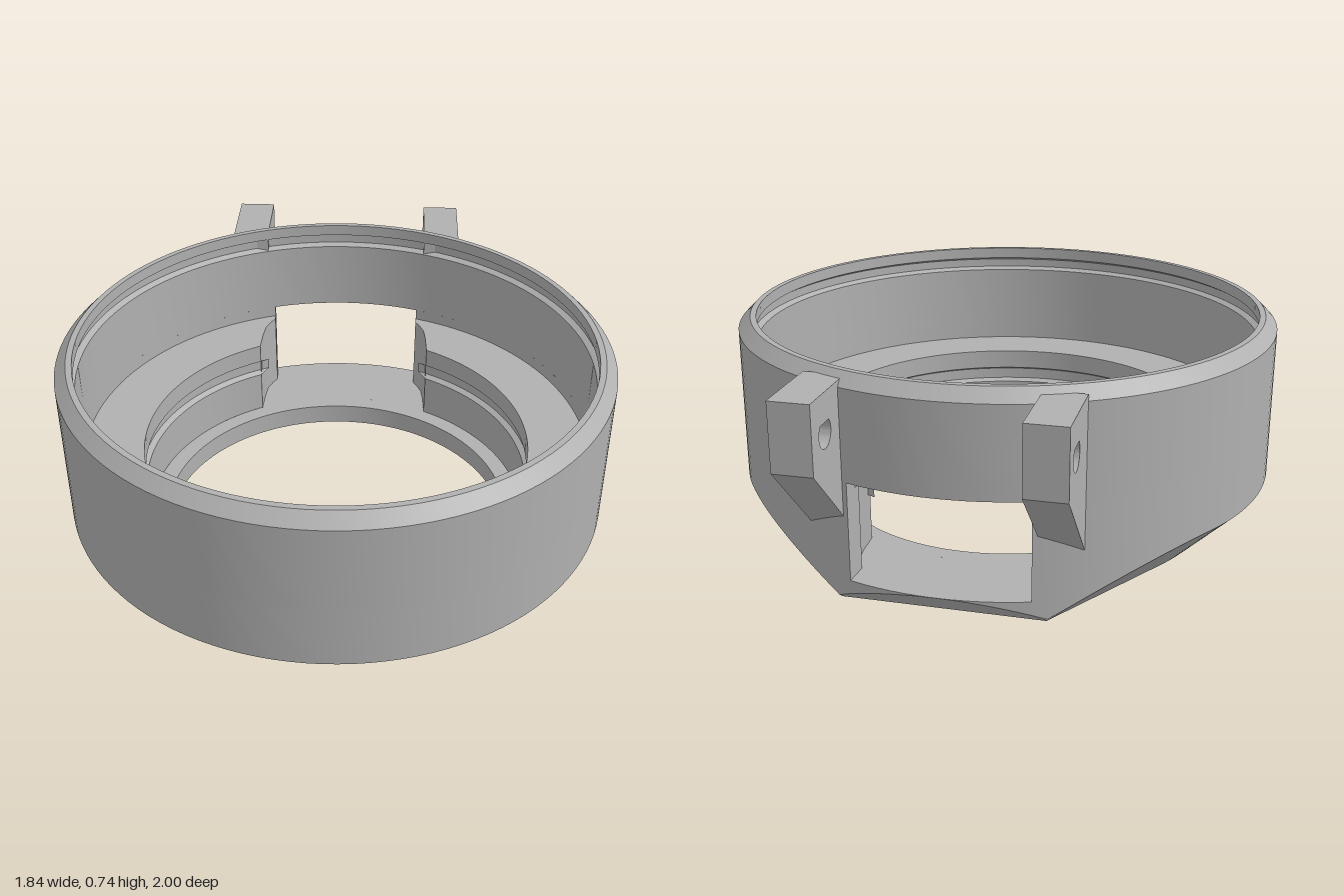
import * as THREE from 'three';
import { toCreasedNormals } from 'three/addons/utils/BufferGeometryUtils.js';

const R = 0.92, INNER = 0.86, SEAT = 0.66, HOLE = 0.6;   // ring radii
const CZ = 0.08;                                         // ring centre in z
const SILL = 0.075, FLOOR = 0.36, LINTEL = 0.4;
const FOOT = 0.73, BACK = 0.845;                         // bottom outline: circle plus flat back
const RAD = Math.PI / 180;
const CORNER = 21 * RAD;
const TANGENT = CORNER + Math.acos(FOOT * Math.cos(CORNER) / BACK);

// pocket and window edge: [radius, half angle in degrees from the back]
const EDGE = [[SEAT, 29], [0.735, 25.5], [0.784, 23.3], [0.815, 21.2], [0.835, 19.5], [INNER, 19], [R, 18]];
const halfAngle = (r) => {
  for (const [er, deg] of EDGE) if (r <= er + 1e-6) return deg * RAD;
  return 18 * RAD;
};

// angle away from the back, 0..PI
const fromBack = (a) => Math.abs(Math.atan2(Math.sin(a), Math.cos(a)));
function footRadius(a) {
  const b = fromBack(a);
  if (b < CORNER) return BACK / Math.cos(b);
  return b < TANGENT ? FOOT / Math.cos(TANGENT - b) : FOOT;
}
function chamferTop(a) {
  const b = fromBack(a);
  if (b < CORNER) return R * Math.cos(b) - BACK;
  return (b < TANGENT ? R * Math.cos(TANGENT - b) : R) - FOOT;
}

const polar = (r, a, y) => [r * Math.sin(a), y, CZ - r * Math.cos(a)];

// grid surface through rows of points
function surface(rows) {
  const n = rows[0].length, idx = [];
  for (let i = 0; i < rows.length - 1; i++) {
    for (let j = 0; j < n - 1; j++) {
      const p = i * n + j, q = p + n;
      idx.push(p, p + 1, q, p + 1, q + 1, q);
    }
  }
  const g = new THREE.BufferGeometry();
  g.setAttribute('position', new THREE.Float32BufferAttribute(rows.flat(2), 3));
  g.setIndex(idx);
  return toCreasedNormals(g, 0.45);
}

// sweep a profile of [r, y] (numbers or functions of angle) round the ring
function sweep(profile, span = 'full') {
  const steps = { full: 120, body: 108, window: 12 }[span];
  return surface(profile.map(([r, y]) => {
    const h = span === 'full' ? 0 : halfAngle(typeof r === 'number' ? r : R);
    const from = span === 'window' ? -h : h;
    const to = span === 'window' ? h : 2 * Math.PI - h;
    return Array.from({ length: steps + 1 }, (_, j) => {
      const a = from + (to - from) * j / steps;
      return polar(typeof r === 'number' ? r : r(a), a, typeof y === 'number' ? y : y(a));
    });
  }));
}

// hinge lug, drawn in side profile with a teardrop pin hole
function lugGeometry() {
  const s = new THREE.Shape();
  s.moveTo(0.73, 0.23);
  s.lineTo(1, 0.5);
  s.lineTo(1, 0.72);
  s.lineTo(0.73, 0.72);
  s.closePath();
  const hole = new THREE.Path();
  hole.moveTo(0.9, 0.66);
  hole.absarc(0.9, 0.598, 0.046, 135 * RAD, 405 * RAD, false);
  hole.closePath();
  s.holes.push(hole);
  const g = new THREE.ExtrudeGeometry(s, { depth: 0.13, bevelEnabled: false, curveSegments: 24 });
  g.rotateY(Math.PI / 2);
  return toCreasedNormals(g, 0.5);
}

export function createModel() {
  const group = new THREE.Group();
  const grey = new THREE.MeshStandardMaterial({ color: 0xb0b0b0, side: THREE.DoubleSide });
  grey.name = 'grey';
  const add = (name, geometry) => {
    const m = new THREE.Mesh(geometry, grey);
    m.name = name;
    group.add(m);
    return m;
  };

  // upper wall with chamfered rim and snap groove
  add('upperWall', sweep([
    [INNER, LINTEL], [INNER, 0.65], [0.88, 0.66], [0.88, 0.69], [INNER, 0.7],
    [INNER, 0.74], [0.88, 0.74], [R, 0.7], [R, LINTEL],
  ]));

  // lower outer wall, open at the back window
  add('lowerWall', sweep([[R, LINTEL], [R, chamferTop]], 'body'));
  add('windowSillFront', sweep([[R, SILL], [R, chamferTop]], 'window'));

  // chamfered base with the central opening and its ledge
  add('base', sweep([
    [R, chamferTop], [footRadius, 0], [HOLE, 0], [HOLE, SILL], [SEAT, SILL],
  ]));

  // grooved seat and inner floor, cut away by the pocket
  add('seatAndFloor', sweep([
    [SEAT, SILL], [SEAT, 0.23], [0.68, 0.24], [0.68, 0.28], [SEAT, 0.29], [SEAT, FLOOR],
    ...EDGE.slice(1, -1).map(([r]) => [r, FLOOR]), [INNER, LINTEL],
  ], 'body'));

  // pocket floor and window lintel
  add('pocketFloor', sweep(EDGE.map(([r]) => [r, SILL]), 'window'));
  add('windowLintel', sweep([[R, LINTEL], [INNER, LINTEL]], 'window'));

  // pocket sides and window jambs
  for (const side of [1, -1]) {
    const wall = (pts, top) => {
      const rows = [top, SILL].map((y) => pts.map(([r, d]) => polar(r, side * d * RAD, y)));
      return surface(side > 0 ? rows : rows.reverse());
    };
    const label = side > 0 ? 'left' : 'right';
    add(label + 'PocketSide', wall(EDGE.slice(0, -1), FLOOR));
    add(label + 'WindowJamb', wall(EDGE.slice(-2), LINTEL));
  }

  // pair of hinge lugs
  const lug = lugGeometry();
  add('leftHingeLug', lug).position.x = 0.3;
  add('rightHingeLug', lug).position.x = -0.43;

  return group;
}
